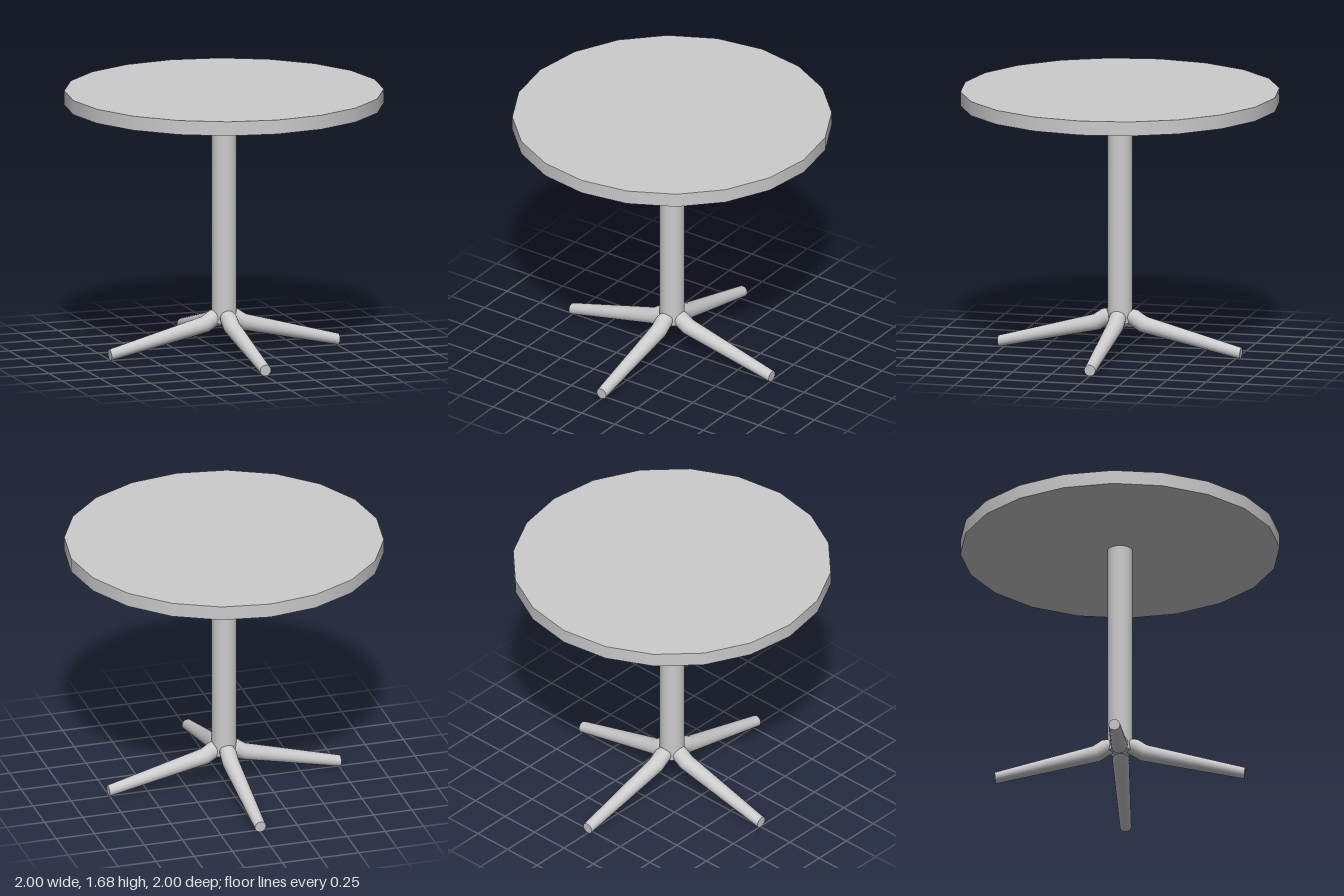
import * as THREE from 'three';
import { toCreasedNormals } from 'three/addons/utils/BufferGeometryUtils.js';

const material = new THREE.MeshStandardMaterial({ color: 0xcccccc });

// Leg cross-sections from the column outwards: [distance, height, radius, tilt]
const LEG = [
  [0.03, 0.25, 0.045, -0.7],
  [0.06, 0.235, 0.053, -0.6],
  [0.125, 0.192, 0.053, -0.4],
  [0.757, 0.038, 0.036, -0.08],
];

// Bent, tapered round leg along +x, shifted outwards by `offset`
function legGeometry(offset) {
  const rows = LEG.length - 1;
  const geometry = new THREE.CylinderGeometry(1, 1, 1, 20, rows);
  const p = geometry.attributes.position;
  for (let i = 0; i < p.count; i++) {
    const [d, h, r, tilt] = LEG[Math.round((0.5 - p.getY(i)) * rows)];
    const up = p.getX(i) * r;
    p.setXYZ(i, d + offset - Math.sin(tilt) * up, h + Math.cos(tilt) * up, p.getZ(i) * r);
  }
  return toCreasedNormals(geometry, 0.7);
}

export function createModel() {
  const table = new THREE.Group();
  table.name = 'pedestalTable';

  const add = (name, geometry, y = 0) => {
    const mesh = new THREE.Mesh(geometry, material);
    mesh.name = name;
    mesh.position.y = y;
    table.add(mesh);
    return mesh;
  };

  // Twenty-sided round top
  add('tableTop', new THREE.CylinderGeometry(1, 1, 0.09, 20), 1.635);

  // Central column
  const bottom = 0.2, top = 1.59;
  add('column', new THREE.CylinderGeometry(0.078, 0.078, top - bottom, 32), (top + bottom) / 2);

  // Four splayed legs; the front and back pair sits slightly further out
  ['leftLeg', 'backLeg', 'rightLeg', 'frontLeg'].forEach((name, i) => {
    add(name, legGeometry(i % 2 ? 0.025 : 0)).rotation.y = (i * Math.PI) / 2;
  });

  return table;
}
